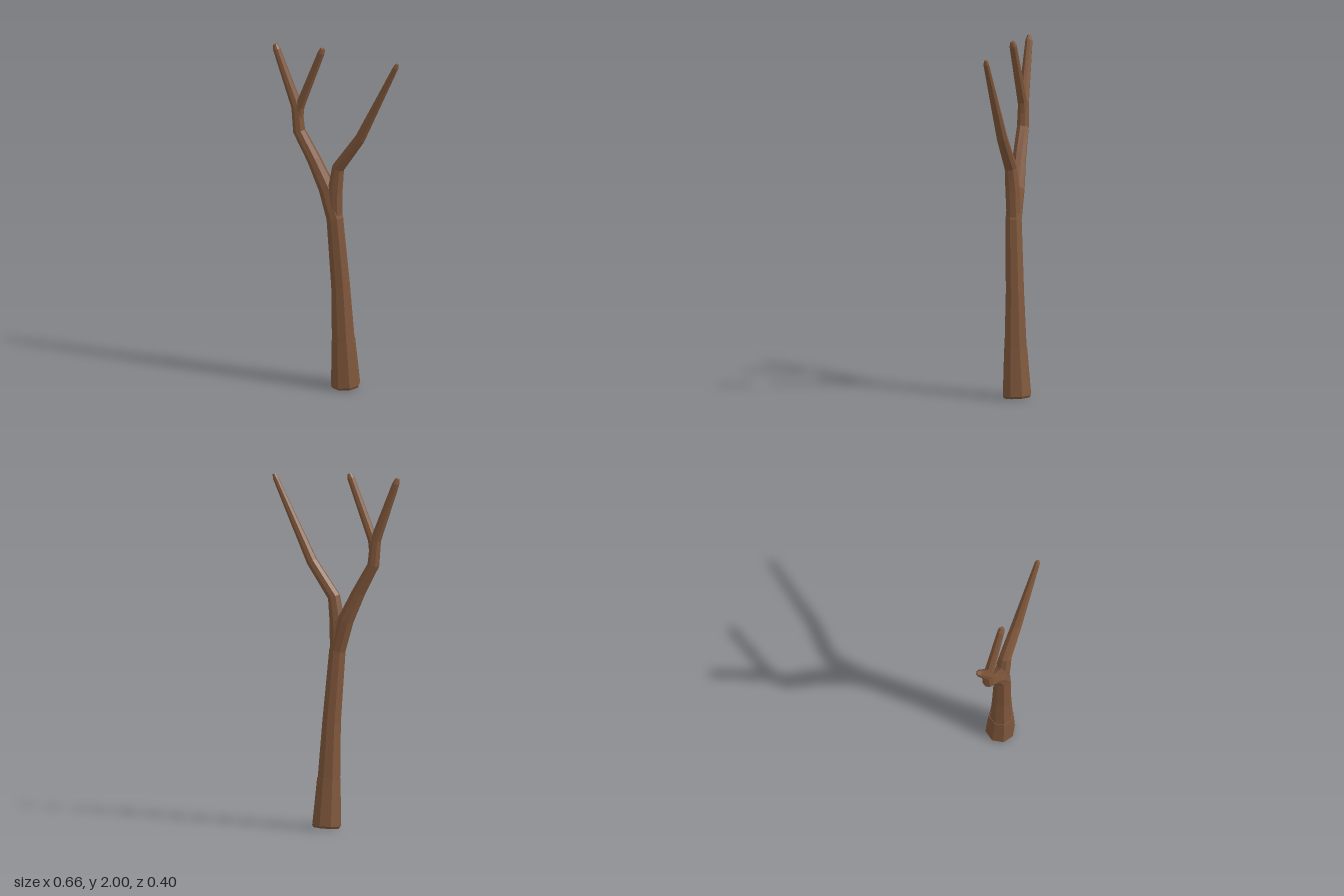
import * as THREE from 'three';

const SIDES = 8;
const bark = new THREE.MeshStandardMaterial({ color: 0x80573b, flatShading: true, roughness: 0.9 });

// Lofts an eight-sided limb through stations [x, y, z, radius], closed at both ends
function limb(name, stations, turn = 0.36) {
  const points = stations.map(([x, y, z]) => new THREE.Vector3(x, y, z));
  const last = points.length - 1;
  const positions = [], index = [];

  points.forEach((p, i) => {
    // Each ring lies across the average direction of its neighbours
    const before = p.clone().sub(points[Math.max(i - 1, 0)]).normalize();
    const after = points[Math.min(i + 1, last)].clone().sub(p).normalize();
    const t = before.add(after).normalize();
    const u = new THREE.Vector3(1, 0, 0).addScaledVector(t, -t.x).normalize();
    const w = new THREE.Vector3().crossVectors(u, t);
    for (let k = 0; k < SIDES; k++) {
      const a = turn + (k / SIDES) * Math.PI * 2;
      const v = p.clone()
        .addScaledVector(u, Math.cos(a) * stations[i][3])
        .addScaledVector(w, Math.sin(a) * stations[i][3]);
      positions.push(v.x, v.y, v.z);
    }
  });

  for (let i = 0; i < last; i++) {
    for (let k = 0; k < SIDES; k++) {
      const n = (k + 1) % SIDES;
      const a = i * SIDES + k, b = i * SIDES + n, c = a + SIDES, d = b + SIDES;
      index.push(a, c, b, b, c, d);
    }
  }
  // End caps
  const top = last * SIDES;
  for (let k = 1; k < SIDES - 1; k++) {
    index.push(0, k, k + 1, top, top + k + 1, top + k);
  }

  const geometry = new THREE.BufferGeometry();
  geometry.setAttribute('position', new THREE.Float32BufferAttribute(positions, 3));
  geometry.setIndex(index);
  geometry.computeVertexNormals();
  const mesh = new THREE.Mesh(geometry, bark);
  mesh.name = name;
  return mesh;
}

export function createModel() {
  const group = new THREE.Group();
  group.name = 'bareTree';

  group.add(
    // Flared foot of the trunk
    limb('trunkBase', [
      [-0.004, 0.005, -0.079, 0.076],
      [-0.004, 0.018, -0.078, 0.084],
      [-0.006, 0.285, -0.064, 0.068],
    ]),
    // Trunk running on into the left-leaning limb
    limb('trunk', [
      [-0.006, 0.27, -0.064, 0.066],
      [-0.013, 0.6, -0.05, 0.054],
      [-0.028, 1.0, -0.021, 0.048],
      [-0.07, 1.17, 0.003, 0.048],
      [-0.132, 1.335, 0.05, 0.039],
      [-0.2, 1.49, 0.1, 0.035],
      [-0.211, 1.63, 0.107, 0.032],
      [-0.309, 1.955, 0.175, 0.021],
      [-0.316, 1.982, 0.18, 0.012],
    ]),
    // Long single branch leaning to the other side
    limb('longBranch', [
      [-0.028, 0.95, -0.024, 0.04],
      [-0.022, 1.17, -0.02, 0.043],
      [-0.003, 1.3, -0.026, 0.036],
      [0.115, 1.49, -0.09, 0.031],
      [0.318, 1.945, -0.19, 0.016],
      [0.326, 1.968, -0.195, 0.009],
    ]),
    // Twig forking from the left-leaning limb
    limb('forkTwig', [
      [-0.204, 1.52, 0.103, 0.026],
      [-0.196, 1.63, 0.099, 0.028],
      [-0.075, 1.97, 0.038, 0.021],
      [-0.066, 1.995, 0.034, 0.012],
    ]),
  );
  return group;
}
